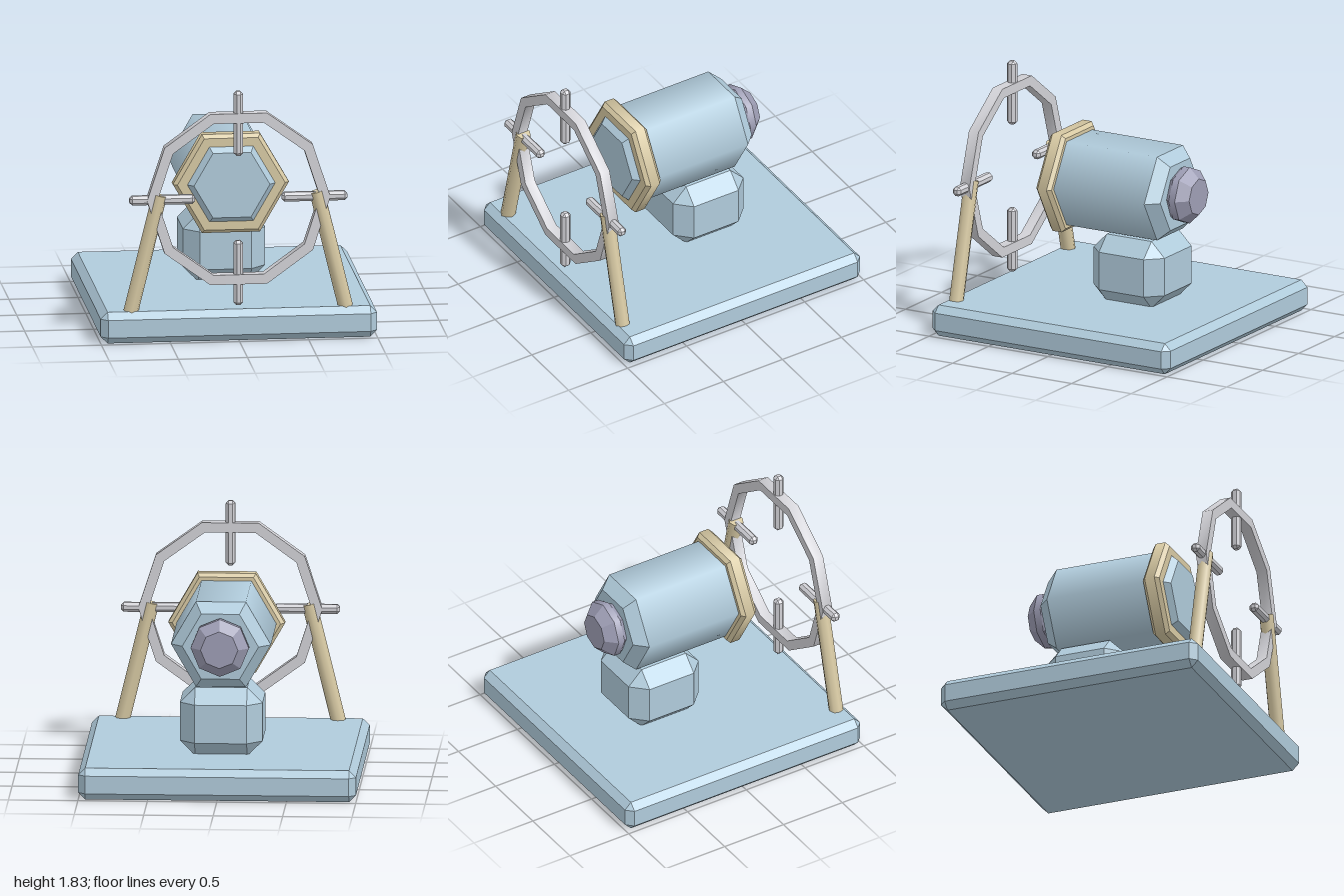
import * as THREE from 'three';
import { mergeGeometries, toCreasedNormals } from 'three/addons/utils/BufferGeometryUtils.js';
import { ConvexGeometry } from 'three/addons/geometries/ConvexGeometry.js';

function material(name, color) {
  const m = new THREE.MeshStandardMaterial({ color });
  m.name = name;
  return m;
}

// Box with every edge cut at 45 degrees by b
function chamferBox(w, h, d, b) {
  const points = [];
  for (const sx of [-0.5, 0.5]) for (const sy of [-0.5, 0.5]) for (const sz of [-0.5, 0.5]) {
    const p = [sx * w, sy * h, sz * d];
    const cut = [Math.sign(sx) * b, Math.sign(sy) * b, Math.sign(sz) * b];
    for (let keep = 0; keep < 3; keep++) {
      points.push(new THREE.Vector3(...p.map((v, i) => (i === keep ? v : v - cut[i]))));
    }
  }
  return new ConvexGeometry(points);
}

// Prism along z from [radius, z] rings, back to front: straight walls smooth, bevels flat
function prism(sides, rings) {
  const parts = [];
  for (let i = 0; i < rings.length - 1; i++) {
    const [r0, z0] = rings[i], [r1, z1] = rings[i + 1];
    const wall = new THREE.CylinderGeometry(r1, r0, z1 - z0, sides, 1, true, Math.PI / 2)
      .rotateX(Math.PI / 2).translate(0, 0, (z0 + z1) / 2).toNonIndexed();
    if (r0 !== r1) wall.computeVertexNormals();
    parts.push(wall);
  }
  const [rb, zb] = rings[0], [rf, zf] = rings[rings.length - 1];
  parts.push(new THREE.CircleGeometry(rb, sides).rotateY(Math.PI).translate(0, 0, zb).toNonIndexed());
  parts.push(new THREE.CircleGeometry(rf, sides).translate(0, 0, zf).toNonIndexed());
  return mergeGeometries(parts);
}

// Flat polygonal hoop
function hoop(outer, inner, sides, depth) {
  const corners = (r) => Array.from({ length: sides }, (_, i) => {
    const a = (i / sides) * Math.PI * 2;
    return new THREE.Vector2(r * Math.cos(a), r * Math.sin(a));
  });
  const shape = new THREE.Shape(corners(outer));
  shape.holes.push(new THREE.Path(corners(inner)));
  const g = new THREE.ExtrudeGeometry(shape, { depth, bevelEnabled: false });
  return toCreasedNormals(g.translate(0, 0, -depth / 2), 0.8);
}

export function createModel() {
  const group = new THREE.Group();
  const blue = material('pale blue', 0xb0cbdb);
  const tan = material('tan', 0xd8caa4);
  const grey = material('light grey', 0xd2d2d7);
  const violet = material('grey violet', 0x9e9eb5);

  const add = (name, geometry, mat, x = 0, y = 0, z = 0) => {
    const mesh = new THREE.Mesh(geometry, mat);
    mesh.name = name;
    mesh.position.set(x, y, z);
    group.add(mesh);
    return mesh;
  };

  const axisY = 1.04, wheelZ = 0.905;

  // Base and pedestal
  add('base', chamferBox(2, 0.23, 2, 0.05), blue, 0, 0.115, 0);
  add('pedestal', chamferBox(0.595, 0.5, 0.595, 0.11), blue, 0, 0.465, -0.19);

  // Hexagonal barrel with collar and rear knob
  add('barrel', prism(6, [[0.275, -0.505], [0.36, -0.42], [0.36, 0.425], [0.275, 0.51]]), blue, 0, axisY, 0);
  add('collar', prism(6, [[0.39, 0.34], [0.42, 0.365], [0.42, 0.44], [0.39, 0.467]]), tan, 0, axisY, 0);
  add('rearKnob', prism(8, [[0.135, -0.662], [0.21, -0.585], [0.21, -0.535], [0.185, -0.5]]), violet, 0, axisY + 0.005, 0);

  // Sight hoop with four pins
  add('sightHoop', hoop(0.663, 0.588, 10, 0.08), grey, 0, axisY, wheelZ);
  const pin = chamferBox(0.475, 0.068, 0.068, 0.02);
  ['leftPin', 'topPin', 'rightPin', 'bottomPin'].forEach((name, i) => {
    const a = (i * Math.PI) / 2;
    add(name, pin, grey, Math.cos(a) * 0.551, axisY + Math.sin(a) * 0.551, wheelZ).rotation.z = a;
  });

  // Leaning legs that carry the hoop
  const foot = new THREE.Vector2(0.777, 0.22), head = new THREE.Vector2(0.568, 1.075);
  const lean = Math.atan2(foot.x - head.x, head.y - foot.y);
  const leg = new THREE.CylinderGeometry(0.054, 0.054, foot.distanceTo(head), 8);
  for (const s of [1, -1]) {
    add(s > 0 ? 'leftLeg' : 'rightLeg', leg, tan,
      s * (foot.x + head.x) / 2, (foot.y + head.y) / 2, wheelZ).rotation.z = s * lean;
  }
  return group;
}
